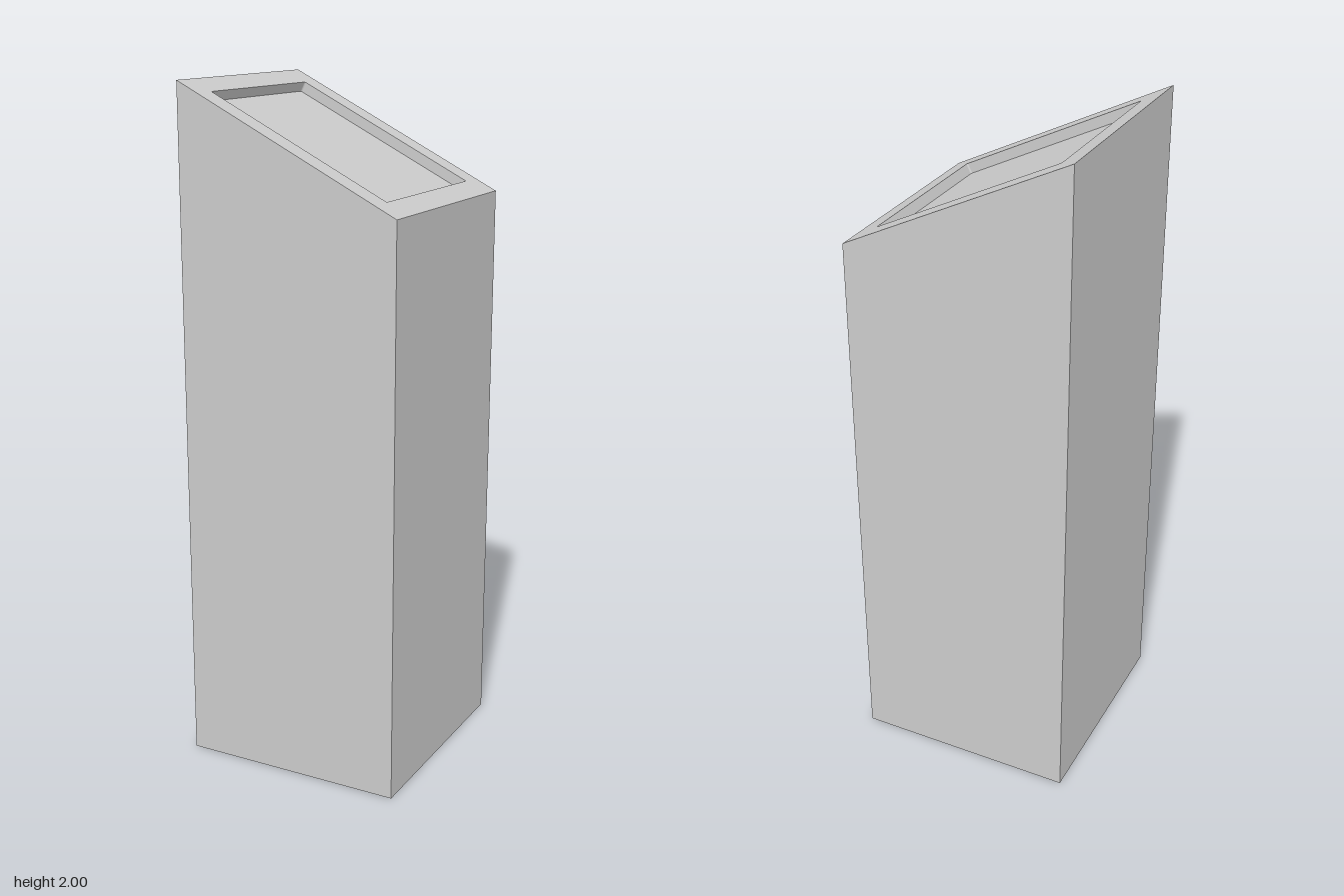
import * as THREE from 'three';

const HALF = 1 / 3;            // half width of the square column
const HIGH = 2, LOW = 5 / 3;   // top heights at -x and +x
const TILT = Math.atan2(HIGH - LOW, 2 * HALF);
const DEPTH = 0.031;           // recess depth, square to the sloped top

// Rectangle with slightly rounded corners, counter-clockwise
function roundedRect(path, w, h, r) {
  path.absarc(w - r, h - r, r, 0, Math.PI / 2);
  path.absarc(-w + r, h - r, r, Math.PI / 2, Math.PI);
  path.absarc(-w + r, -h + r, r, Math.PI, Math.PI * 1.5);
  path.absarc(w - r, -h + r, r, Math.PI * 1.5, Math.PI * 2);
  path.closePath();
  return path;
}

// Lay a flat XY geometry onto the sloped top
function onSlope(geometry) {
  return geometry.rotateX(-Math.PI / 2).rotateZ(-TILT).translate(0, (HIGH + LOW) / 2, 0);
}

export function createModel() {
  const model = new THREE.Group();
  model.name = 'slantedPedestal';
  const material = new THREE.MeshStandardMaterial({ color: 0xcccccc, flatShading: true });
  const add = (name, geometry) => {
    const mesh = new THREE.Mesh(geometry, material);
    mesh.name = name;
    model.add(mesh);
  };

  // Column: box with its top edge slanted and its top face left open
  const column = new THREE.BoxGeometry(2 * HALF, 2, 2 * HALF).translate(0, 1, 0);
  const pos = column.attributes.position;
  for (let i = 0; i < pos.count; i++) {
    if (pos.getY(i) > 1) pos.setY(i, pos.getX(i) < 0 ? HIGH : LOW);
  }
  column.setIndex([...column.index.array].filter((_, i) => i < 12 || i >= 18));
  column.clearGroups();
  column.computeVertexNormals();
  add('column', column);

  // Sloped rim around the recess
  const u = HALF / Math.cos(TILT);
  const rim = new THREE.Shape([[-u, -HALF], [u, -HALF], [u, HALF], [-u, HALF]]
    .map(([x, y]) => new THREE.Vector2(x, y)));
  const opening = roundedRect(new THREE.Shape(), 0.3, 0.261, 0.005);
  rim.holes.push(opening);
  add('topRim', onSlope(new THREE.ShapeGeometry(rim, 4)));

  // Recess walls, facing inwards
  const ring = opening.getPoints(4);
  const verts = [];
  ring.forEach((a, i) => {
    const b = ring[(i + 1) % ring.length];
    if (a.distanceTo(b) < 1e-6) return;
    verts.push(a.x, a.y, 0, b.x, b.y, 0, b.x, b.y, -DEPTH);
    verts.push(a.x, a.y, 0, b.x, b.y, -DEPTH, a.x, a.y, -DEPTH);
  });
  const walls = new THREE.BufferGeometry();
  walls.setAttribute('position', new THREE.Float32BufferAttribute(verts, 3));
  walls.computeVertexNormals();
  add('recessWalls', onSlope(walls));

  // Recess floor
  add('recessFloor', onSlope(new THREE.ShapeGeometry(opening, 4).translate(0, 0, -DEPTH)));

  return model;
}
